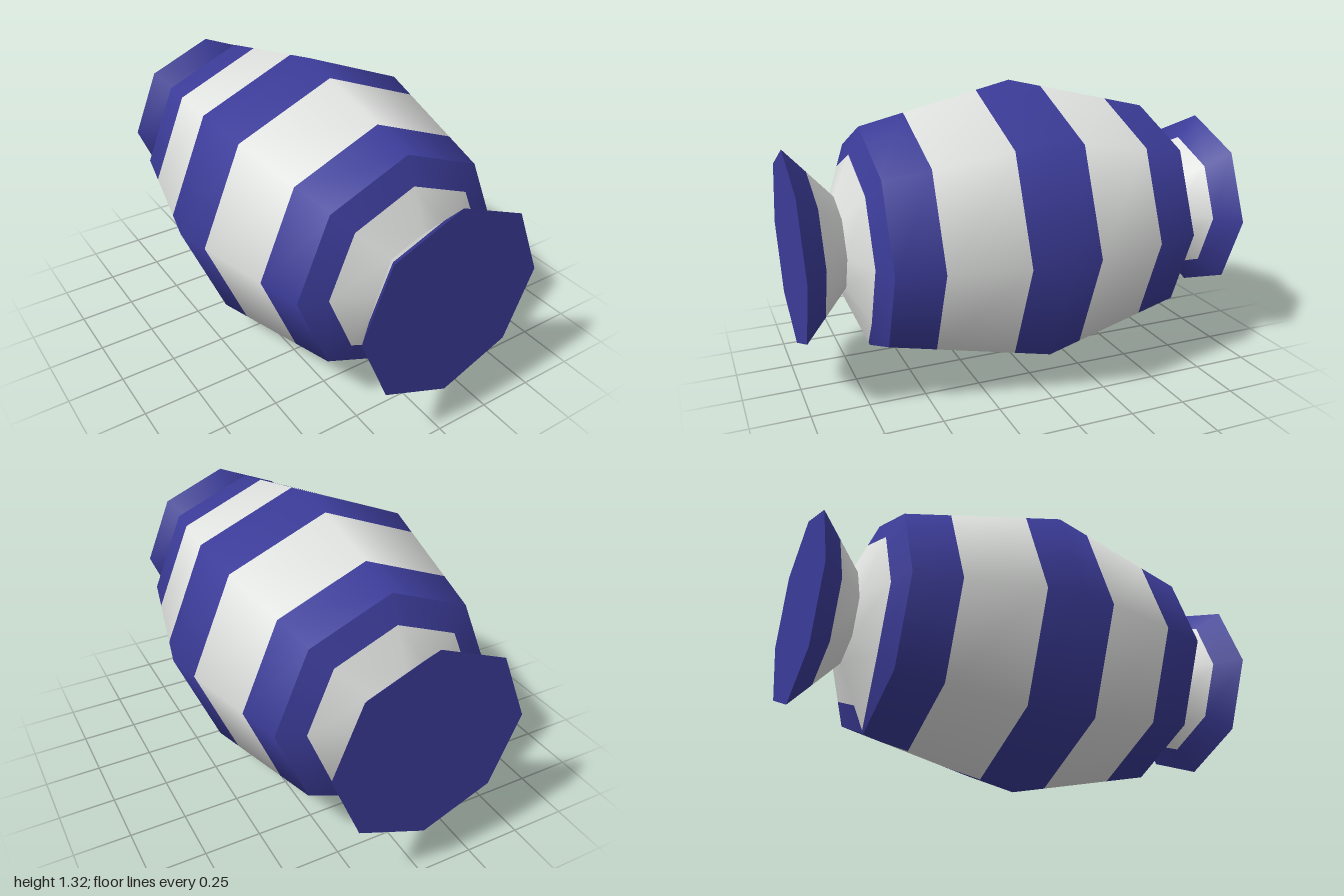
import * as THREE from 'three';

const SIDES = 8;
const AXIS_Y = 0.66;

// Ring of [z, radius] stations, one per column; column 0 and 8 meet at the bottom.
const ring = (z, r) => Array.from({ length: SIDES + 1 }, () => [z, r]);

// Octagonal band between two rings, smooth around and with slopes (dz/dr of normal) at each end.
function band(name, material, ringA, ringB, slopeA, slopeB = slopeA) {
  const pos = [], nor = [], idx = [];
  for (let i = 0; i <= SIDES; i++) {
    const a = -Math.PI / 2 + (i / SIDES) * Math.PI * 2;
    const c = Math.cos(a), s = Math.sin(a);
    [[ringA[i], slopeA], [ringB[i], slopeB]].forEach(([[z, r], slope]) => {
      pos.push(c * r, s * r, z);
      const n = new THREE.Vector3(c, s, slope).normalize();
      nor.push(n.x, n.y, n.z);
    });
    if (i < SIDES) {
      const k = i * 2;
      idx.push(k, k + 2, k + 1, k + 1, k + 2, k + 3);
    }
  }
  const g = new THREE.BufferGeometry();
  g.setAttribute('position', new THREE.Float32BufferAttribute(pos, 3));
  g.setAttribute('normal', new THREE.Float32BufferAttribute(nor, 3));
  g.setIndex(idx);
  const mesh = new THREE.Mesh(g, material);
  mesh.name = name;
  return mesh;
}

// One half of the sweet, from the middle (z = 0) to the twisted end (z = 1).
function buildHalf(name, blue, white) {
  const half = new THREE.Group();
  half.name = name;

  // Barrel body with alternating stripes
  const bodyR = z => 0.658 - (0.158 / 0.68) * z;
  const bodySlope = z => 0.235 * (z / 0.68);
  const stops = [0, 0.155, 0.485, 0.68];
  const labels = ['middleStripe', 'paleStripe', 'outerStripe'];
  labels.forEach((label, i) => {
    const z0 = stops[i], z1 = stops[i + 1];
    half.add(band(label, i === 1 ? white : blue,
      ring(z0, bodyR(z0)), ring(z1, bodyR(z1)), bodySlope(z0), bodySlope(z1)));
  });

  // Shoulder narrowing to the neck; the colour edge steps outward at the wrapper seam
  const shoulderZ = r => 0.68 + ((0.5 - r) / 0.29) * 0.12;
  const edge = ring(shoulderZ(0.385), 0.385);
  edge[0] = [shoulderZ(0.487), 0.487];
  const shoulderSlope = 0.29 / 0.12;
  half.add(band('shoulderRim', blue, ring(0.68, 0.5), edge, shoulderSlope));
  half.add(band('shoulderNeck', white, edge, ring(0.8, 0.21), shoulderSlope));

  // Flared wrapper end
  const tailSlope = -0.22 / 0.2;
  half.add(band('flareInner', white, ring(0.8, 0.21), ring(0.907, 0.328), tailSlope));
  half.add(band('flareRim', blue, ring(0.907, 0.328), ring(1, 0.43), tailSlope));
  const cap = new THREE.Mesh(new THREE.CircleGeometry(0.43, SIDES), blue);
  cap.name = 'flareCap';
  cap.position.z = 1;
  half.add(cap);
  return half;
}

export function createModel() {
  const blue = new THREE.MeshStandardMaterial({ color: 0x3c3c9a });
  blue.name = 'wrapper blue';
  const white = new THREE.MeshStandardMaterial({ color: 0xe2e4e2 });
  white.name = 'wrapper white';

  const model = new THREE.Group();
  model.name = 'wrappedSweet';
  const front = buildHalf('frontHalf', blue, white);
  const back = buildHalf('backHalf', blue, white);
  back.rotation.y = Math.PI;
  model.add(front, back);
  [front, back].forEach(h => { h.position.y = AXIS_Y; });
  return model;
}
